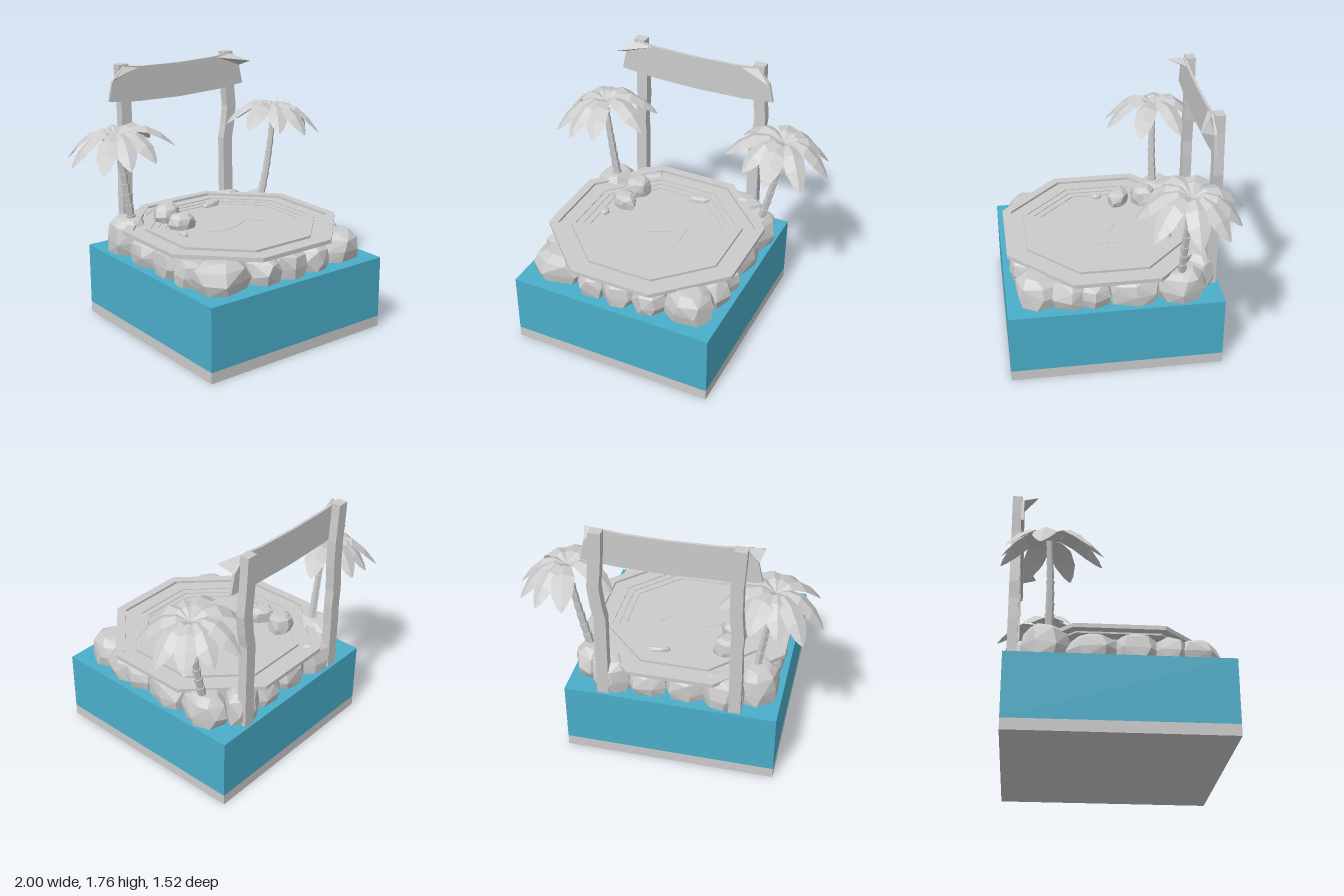
import * as THREE from 'three';
import { ConvexGeometry } from 'three/addons/geometries/ConvexGeometry.js';

const grey = new THREE.MeshStandardMaterial({ color: 0xcccccc, flatShading: true });
const thin = new THREE.MeshStandardMaterial({ color: 0xcccccc, flatShading: true, side: THREE.DoubleSide });
const blue = new THREE.MeshStandardMaterial({ color: 0x4aaeca, flatShading: true });
const CX = -0.055, CZ = 0.035; // platform centre

let seed = 7;
const rand = () => (seed = (seed * 16807) % 2147483647) / 2147483647;
const jitter = (a) => (rand() - 0.5) * 2 * a;

function add(parent, name, geometry, material = grey) {
  const mesh = new THREE.Mesh(geometry, material);
  mesh.name = name;
  parent.add(mesh);
  return mesh;
}

function geometryFrom(positions, index) {
  const g = new THREE.BufferGeometry();
  g.setAttribute('position', new THREE.Float32BufferAttribute(positions, 3));
  g.setIndex(index);
  g.computeVertexNormals();
  return g;
}

// Regular octagon with flat sides facing the axes
function octagon(apothem) {
  const r = apothem / Math.cos(Math.PI / 8);
  return Array.from({ length: 8 }, (_, i) => {
    const a = (i + 0.5) * Math.PI / 4;
    return new THREE.Vector2(Math.cos(a) * r, Math.sin(a) * r);
  });
}

// Flat octagonal slab or ring between two heights
function octagonSlab(outer, inner, y0, y1) {
  const shape = new THREE.Shape(octagon(outer));
  if (inner) shape.holes.push(new THREE.Path(octagon(inner)));
  return new THREE.ExtrudeGeometry(shape, { depth: y1 - y0, bevelEnabled: false })
    .rotateX(-Math.PI / 2).translate(CX, y0, CZ);
}

// Chunky faceted boulder: hull of jittered rings
function boulder(x, y, z, rx, h, rz, turn = 0) {
  const points = [];
  for (const [level, size] of [[0, 0.9], [0.4, 1], [0.8, 0.88], [1, 0.55]]) {
    for (let i = 0; i < 7; i++) {
      const a = (i / 7) * Math.PI * 2 + jitter(0.2);
      const r = size * (1 + jitter(0.07));
      const up = level === 0 ? 0 : level + jitter(0.06);
      points.push(new THREE.Vector3(Math.cos(a) * r * rx, up * h, Math.sin(a) * r * rz));
    }
  }
  return new ConvexGeometry(points).rotateY(turn).translate(x, y, z);
}

// Square timber that wavers in x, given as [x, y] centres
function wavyPost(centres, z, halfX, halfZ) {
  const pos = [], idx = [];
  for (const [x, y] of centres) {
    pos.push(x - halfX, y, z + halfZ, x + halfX, y, z + halfZ, x + halfX, y, z - halfZ, x - halfX, y, z - halfZ);
  }
  for (let i = 0; i < centres.length - 1; i++) {
    for (let j = 0; j < 4; j++) {
      const a = i * 4 + j, b = i * 4 + (j + 1) % 4;
      idx.push(a, b, b + 4, a, b + 4, a + 4);
    }
  }
  const t = (centres.length - 1) * 4;
  idx.push(t, t + 1, t + 2, t, t + 2, t + 3, 0, 2, 1, 0, 3, 2);
  return geometryFrom(pos, idx);
}

// Drooping leaf with a raised midrib, ending at offset dx, dz
function palmLeaf(dx, dz, lean) {
  const pos = [], idx = [];
  const len = Math.hypot(dx, dz), sx = -dz / len, sz = dx / len;
  const rows = [[0, 0, 0.012], [0.25, 0.045, 0.045], [0.5, 0.035, 0.075], [0.75, -0.03, 0.07], [0.92, -0.1, 0.035], [1, -0.14, 0.006]];
  for (const [t, y, w] of rows) {
    for (const s of [-1, 0, 1]) {
      const x = dx * t + sx * w * s, z = dz * t + sz * w * s;
      pos.push(x, y + lean * x - Math.abs(s) * w * 0.4, z);
    }
  }
  for (let i = 0; i < rows.length - 1; i++) {
    for (let j = 0; j < 2; j++) {
      const a = i * 3 + j;
      idx.push(a, a + 1, a + 4, a, a + 4, a + 3);
    }
  }
  return geometryFrom(pos, idx);
}

function palm(name, base, bend, top, leaves, lean) {
  const group = new THREE.Group();
  group.name = name;
  // Trunk of stacked flaring segments along a curve
  const curve = new THREE.QuadraticBezierCurve3(base, bend, top);
  const n = 9;
  for (let i = 0; i < n; i++) {
    const a = curve.getPoint(i / n), b = curve.getPoint((i + 1) / n);
    const dir = b.clone().sub(a), r = 0.032 - 0.012 * (i / n);
    const seg = add(group, 'trunkSegment', new THREE.CylinderGeometry(r, r * 0.82, dir.length() * 1.08, 6));
    seg.position.copy(a).add(b).multiplyScalar(0.5);
    seg.quaternion.setFromUnitVectors(new THREE.Vector3(0, 1, 0), dir.normalize());
  }
  for (const [dx, dz] of leaves) {
    add(group, 'palmLeaf', palmLeaf(dx, dz, lean), thin).position.copy(top);
  }
  return group;
}

export function createModel() {
  const model = new THREE.Group();
  seed = 7;

  // Water block on a sand layer
  add(model, 'sandBase', new THREE.BoxGeometry(1.435, 0.075, 1.44).translate(-0.053, 0.0375, 0.04));
  add(model, 'waterBlock', new THREE.BoxGeometry(1.435, 0.43, 1.44).translate(-0.053, 0.29, 0.04), blue);

  // Stepped octagonal platform: [outer, inner, bottom, top]
  add(model, 'platformCore', octagonSlab(0.56, 0, 0.5, 0.685));
  for (const [o, i, y0, y1] of [
    [0.695, 0.635, 0.692, 0.72], [0.64, 0.555, 0.68, 0.703], [0.555, 0.52, 0.68, 0.72],
    [0.52, 0.475, 0.68, 0.714], [0.475, 0.43, 0.68, 0.709], [0.43, 0, 0.68, 0.704],
  ]) add(model, i ? 'platformStep' : 'platformFloor', octagonSlab(o, i, y0, y1));

  // Fish inlay on the floor
  const fish = new THREE.Shape();
  fish.moveTo(-0.3, -0.03);
  for (const [x, z] of [[-0.26, 0.1], [-0.16, 0.13], [-0.08, 0.11], [0.055, 0.045], [0.155, 0.13], [0.155, -0.06],
    [0.055, 0.025], [-0.09, -0.04], [-0.18, -0.06], [-0.26, -0.02], [-0.3, 0.03]]) fish.lineTo(x, -z);
  fish.closePath();
  add(model, 'fishInlay', new THREE.ExtrudeGeometry(fish, { depth: 0.003, bevelEnabled: false })
    .rotateX(-Math.PI / 2).translate(0, 0.7035, 0));

  // Boulders ringing the platform: [x, z, half width, height, half depth]
  for (const [x, z, rx, h, rz] of [
    [-0.52, 0.53, 0.2, 0.19, 0.17], [-0.24, 0.6, 0.12, 0.17, 0.12], [-0.04, 0.6, 0.14, 0.19, 0.13],
    [0.18, 0.6, 0.12, 0.17, 0.12], [0.44, 0.54, 0.17, 0.19, 0.17], [0.52, 0.34, 0.12, 0.18, 0.14],
    [0.53, 0.18, 0.11, 0.16, 0.13], [0.52, -0.09, 0.13, 0.19, 0.19], [0.53, -0.4, 0.13, 0.21, 0.17],
    [0.36, -0.56, 0.14, 0.22, 0.11], [0.12, -0.54, 0.15, 0.18, 0.11], [-0.14, -0.54, 0.15, 0.18, 0.11],
    [-0.4, -0.55, 0.16, 0.21, 0.12], [-0.6, -0.42, 0.15, 0.24, 0.17], [-0.63, -0.12, 0.12, 0.18, 0.17],
    [-0.63, 0.15, 0.11, 0.19, 0.15], [-0.62, 0.36, 0.12, 0.17, 0.12],
  ]) add(model, 'shoreBoulder', boulder(x, 0.5, z, rx, h, rz));

  // Loose stones on the platform
  add(model, 'looseStone', boulder(-0.38, 0.7, -0.11, 0.1, 0.1, 0.075, -0.5));
  add(model, 'looseStone', boulder(-0.37, 0.7, -0.29, 0.1, 0.13, 0.09, 0.4));
  add(model, 'looseStone', boulder(0.08, 0.695, -0.38, 0.08, 0.04, 0.03, 0.2));
  add(model, 'looseStone', boulder(-0.46, 0.695, 0.04, 0.03, 0.035, 0.04));

  // Timber posts
  add(model, 'rightPost', wavyPost([[-0.49, 0.5], [-0.492, 0.85], [-0.488, 1], [-0.495, 1.12], [-0.48, 1.3],
    [-0.48, 1.5], [-0.49, 1.64], [-0.495, 1.765]], -0.628, 0.04, 0.033));
  add(model, 'leftPost', wavyPost([[0.4, 0.5], [0.398, 0.85], [0.395, 1.12], [0.415, 1.22], [0.43, 1.36],
    [0.415, 1.5], [0.405, 1.64], [0.4, 1.765]], -0.628, 0.04, 0.033));

  // Sagging blank banner with curled upper corners
  const banner = new THREE.Shape();
  banner.moveTo(-0.625, 1.525);
  for (const [x, y] of [[-0.4, 1.502], [-0.05, 1.492], [0.3, 1.502], [0.52, 1.525], [0.49, 1.66], [0.39, 1.757],
    [0.25, 1.742], [-0.05, 1.735], [-0.36, 1.742], [-0.5, 1.757], [-0.595, 1.66]]) banner.lineTo(x, y);
  banner.closePath();
  add(model, 'banner', new THREE.ExtrudeGeometry(banner, { depth: 0.018, bevelEnabled: false }).translate(0, 0, -0.6));
  for (const s of [-1, 1]) {
    const p = (x, y, z) => [-0.0525 + s * x, y, z];
    add(model, 'bannerCurl', geometryFrom([
      ...p(0.445, 1.757, -0.59), ...p(0.34, 1.735, -0.58), ...p(0.57, 1.7, -0.485), ...p(0.545, 1.66, -0.582),
    ], [0, 1, 2, 1, 3, 2]), thin);
  }

  // Palms leaning outward, with leaf tip offsets [dx, dz]
  const V = (x, y, z) => new THREE.Vector3(x, y, z);
  model.add(palm('rightPalm', V(-0.585, 0.68, -0.4), V(-0.64, 1.05, -0.39), V(-0.685, 1.33, -0.41),
    [[0.115, -0.31], [-0.06, -0.3], [-0.215, -0.28], [-0.315, -0.06], [-0.255, 0.255], [-0.1, 0.34],
      [0.09, 0.345], [0.37, 0.15], [0.35, -0.14]], 0.14));
  model.add(palm('leftPalm', V(0.535, 0.62, -0.4), V(0.64, 0.98, -0.39), V(0.68, 1.34, -0.415),
    [[-0.07, -0.345], [0.12, -0.3], [0.26, -0.19], [0.32, 0], [0.22, 0.27], [0, 0.36],
      [-0.18, 0.29], [-0.36, 0.17], [-0.34, -0.12]], -0.14));

  return model;
}
